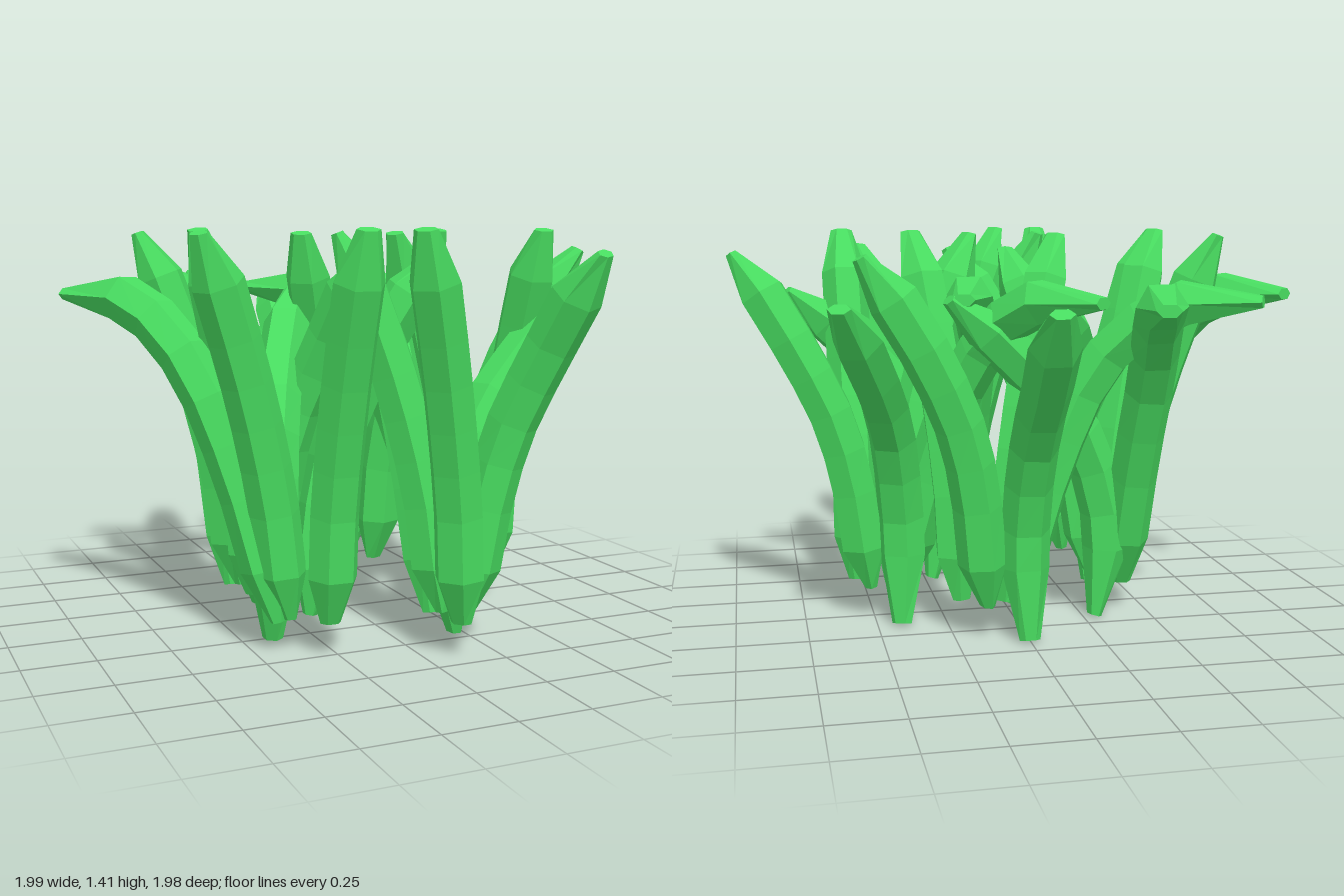
import * as THREE from 'three';

const SIDES = 6;
const RADIUS = 0.085;

// Blades of one clump, as spine points measured from the clump's own centre;
// foot and taper are where the narrowing at each end stops and starts
const BLADES = [
  { name: 'archingBlade', foot: 0.12, taper: 0.83, spine: [[-0.02, 0.1, 0.03], [-0.05, 0.3, 0.01],
    [-0.14, 0.65, -0.05], [-0.24, 0.93, -0.13], [-0.34, 1.1, -0.26], [-0.45, 1.18, -0.41], [-0.575, 1.19, -0.58]] },
  { name: 'leaningBlade', foot: 0.18, taper: 0.87, spine: [[0.02, 0.005, -0.11], [0, 0.25, -0.05],
    [0.015, 0.48, -0.08], [0.06, 0.74, -0.19], [0.15, 0.96, -0.38], [0.27, 1.185, -0.59]] },
  { name: 'curvedBlade', foot: 0.12, taper: 0.87, spine: [[0.12, 0.11, 0.03], [0.15, 0.4, 0.01],
    [0.23, 0.73, -0.01], [0.37, 1.02, 0], [0.55, 1.33, 0.07]] },
  { name: 'frontBlade', foot: 0.12, taper: 0.87, spine: [[0.135, 0.11, 0.16], [0.135, 0.45, 0.18],
    [0.135, 0.8, 0.255], [0.135, 1.1, 0.345], [0.135, 1.4, 0.45]] },
  { name: 'sideBlade', foot: 0.12, taper: 0.87, spine: [[0.01, 0.11, 0.05], [-0.025, 0.45, 0.06],
    [-0.1, 0.8, 0.09], [-0.19, 1.1, 0.13], [-0.29, 1.39, 0.18]] },
];

// Clump positions (x, z) and turns about the vertical
const CLUMPS = [
  { x: -0.41, z: 0.36, turn: -1.5 },
  { x: 0.405, z: -0.035, turn: 2.5 },
  { x: 0.14, z: 0.485, turn: -50 },
  { x: -0.375, z: -0.12, turn: -50 },
  { x: 0.03, z: -0.315, turn: 24 },
];

// Ring sizes: width across, thickness, and shift towards the inner side of the bend
const BODY = { width: RADIUS, depth: RADIUS, shift: 0 };
const FOOT = { width: 0.036, depth: 0.024, shift: 0.015 };
const TIP = { width: 0.04, depth: 0.022, shift: -0.016 };

// Six-sided stalk swept along a spine, narrowed to a flat wedge at both ends
function bladeGeometry({ spine, foot, taper }) {
  const pts = spine.map((p) => new THREE.Vector3(...p));
  const curve = new THREE.CatmullRomCurve3(pts);
  const lean = pts[pts.length - 1].clone().sub(pts[0]).setY(0);
  const across = new THREE.Vector3(0, 1, 0).cross(lean).normalize();
  const stops = [0, foot, 0.28, 0.4, 0.51, 0.62, 0.73, taper, 1];
  const last = stops.length - 1;
  const position = [];
  const index = [];

  stops.forEach((t, i) => {
    const centre = curve.getPointAt(t);
    const tangent = curve.getTangentAt(t);
    const side = across.clone().addScaledVector(tangent, -across.dot(tangent)).normalize();
    const normal = tangent.clone().cross(side);
    const ring = i === 0 ? FOOT : i === last ? TIP : BODY;
    for (let k = 0; k < SIDES; k++) {
      const a = (k / SIDES) * Math.PI * 2;
      const p = centre.clone()
        .addScaledVector(side, ring.width * Math.cos(a))
        .addScaledVector(normal, ring.shift + ring.depth * Math.sin(a));
      position.push(p.x, p.y, p.z);
    }
  });

  for (let i = 0; i < last; i++) {
    for (let k = 0; k < SIDES; k++) {
      const a = i * SIDES + k;
      const b = i * SIDES + ((k + 1) % SIDES);
      index.push(a, b, b + SIDES, a, b + SIDES, a + SIDES);
    }
  }
  // End caps
  const top = last * SIDES;
  for (let k = 1; k < SIDES - 1; k++) {
    index.push(0, k + 1, k, top, top + k, top + k + 1);
  }

  const geometry = new THREE.BufferGeometry();
  geometry.setAttribute('position', new THREE.Float32BufferAttribute(position, 3));
  geometry.setIndex(index);
  geometry.computeVertexNormals();
  return geometry;
}

export function createModel() {
  const model = new THREE.Group();
  model.name = 'grassTuft';
  const green = new THREE.MeshStandardMaterial({ color: 0x48dc60, flatShading: true });
  const shapes = BLADES.map(bladeGeometry);

  // The same five blades in every clump
  CLUMPS.forEach(({ x, z, turn }) => {
    const clump = new THREE.Group();
    clump.name = 'clump';
    BLADES.forEach((b, i) => {
      const blade = new THREE.Mesh(shapes[i], green);
      blade.name = b.name;
      clump.add(blade);
    });
    clump.position.set(x, 0, z);
    clump.rotation.y = THREE.MathUtils.degToRad(turn);
    model.add(clump);
  });
  return model;
}
